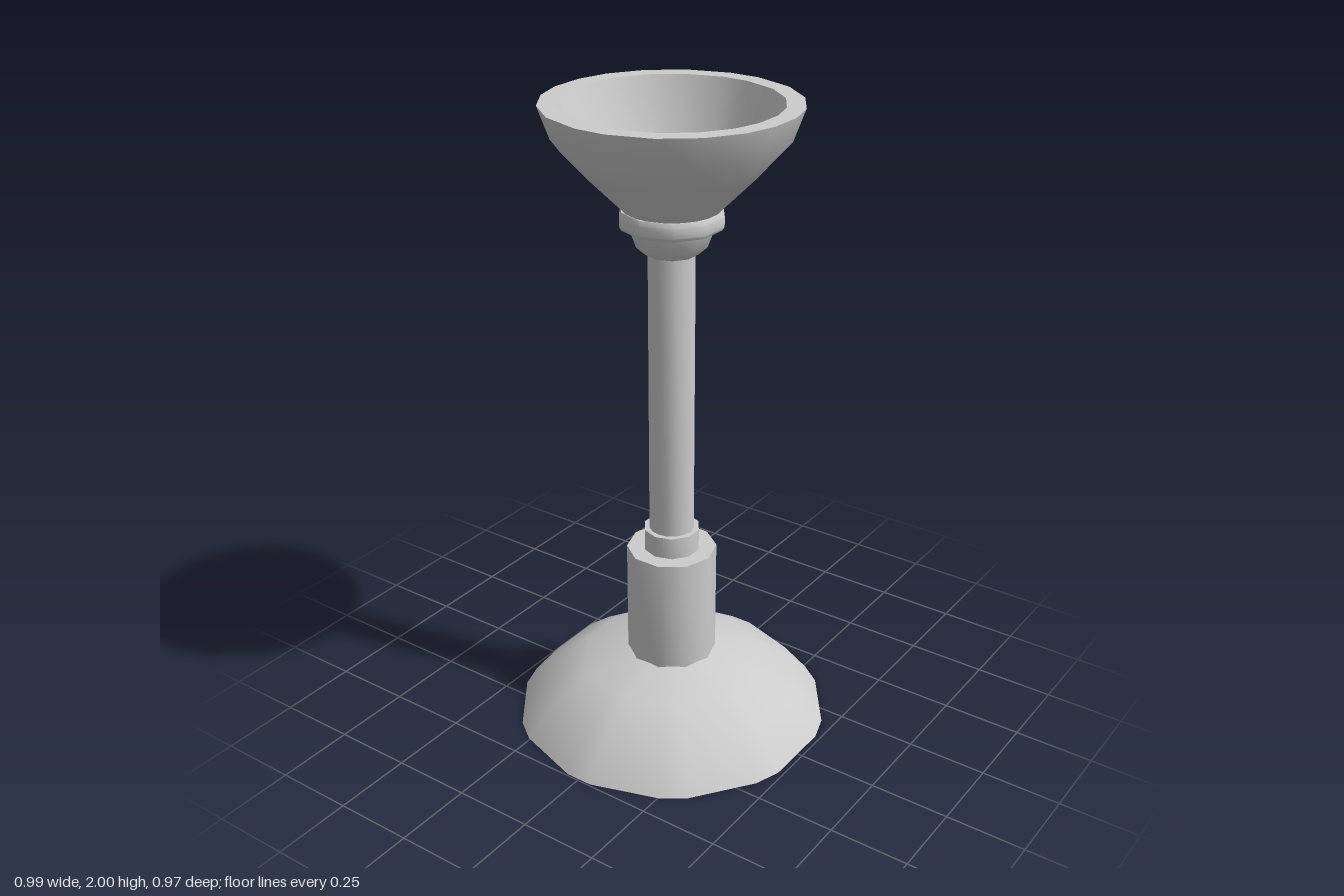
import * as THREE from 'three';
import { toCreasedNormals } from 'three/addons/utils/BufferGeometryUtils.js';

const toPoints = (profile) => profile.map(([r, y]) => new THREE.Vector2(r, y));

// Turned part with regular sides; profile runs bottom to top along the outside
function turned(profile, sides, phiStart = 0) {
  return new THREE.LatheGeometry(toPoints(profile), sides, phiStart);
}

// Turned part whose corners sit at given angles (degrees, one quadrant, mirrored round)
function unevenTurned(profile, quadrant) {
  const back = [...quadrant].reverse();
  const angles = [
    ...quadrant, ...back.map((a) => 180 - a),
    ...quadrant.map((a) => 180 + a), ...back.map((a) => 360 - a),
  ];
  const n = angles.length;
  const geometry = new THREE.LatheGeometry(toPoints(profile), n);
  const pos = geometry.attributes.position;
  for (let i = 0; i <= n; i++) {
    const phi = THREE.MathUtils.degToRad(angles[i % n]);
    profile.forEach(([r, y], j) => {
      pos.setXYZ(i * profile.length + j, r * Math.sin(phi), y, r * Math.cos(phi));
    });
  }
  return geometry;
}

export function createModel() {
  const group = new THREE.Group();
  const grey = new THREE.MeshStandardMaterial({ color: 0xcccccc });
  const greyThin = new THREE.MeshStandardMaterial({ color: 0xcccccc, side: THREE.DoubleSide });

  function add(name, geometry, material = grey) {
    const mesh = new THREE.Mesh(toCreasedNormals(geometry, 0.72), material);
    mesh.name = name;
    group.add(mesh);
  }

  // Thin hollow dome foot, a ten-sided form with cut corners
  add('domeBase', unevenTurned(
    [[0.496, 0], [0.415, 0.1], [0.283, 0.19], [0.13, 0.23]],
    [13, 23, 49, 59, 85]), greyThin);

  // Sleeve pushed through the top of the dome
  add('sleeve', turned([[0, 0.2], [0.14, 0.2], [0.14, 0.595], [0, 0.595]], 10));

  // Small step between sleeve and stem
  add('stemRing', turned([[0, 0.58], [0.088, 0.58], [0.088, 0.665], [0, 0.665]], 10, Math.PI / 2));

  add('stem', turned([[0, 0.6], [0.07, 0.6], [0.07, 1.6], [0, 1.6]], 16));

  // Cup-shaped collar with a wider band on top
  add('collar', turned([
    [0, 1.565], [0.08, 1.565], [0.107, 1.59], [0.125, 1.64], [0.15, 1.645],
    [0.156, 1.655], [0.156, 1.685], [0.15, 1.698], [0, 1.698],
  ], 10, Math.PI / 2));

  // Thick bowl with a flat rim, sloping inner wall and flat floor
  add('bowl', unevenTurned([
    [0, 1.695], [0.14, 1.695], [0.257, 1.814], [0.338, 1.905], [0.372, 2],
    [0.318, 2], [0.254, 1.83], [0, 1.83],
  ], [8.5, 24, 42, 61.5, 82.5]));

  return group;
}
